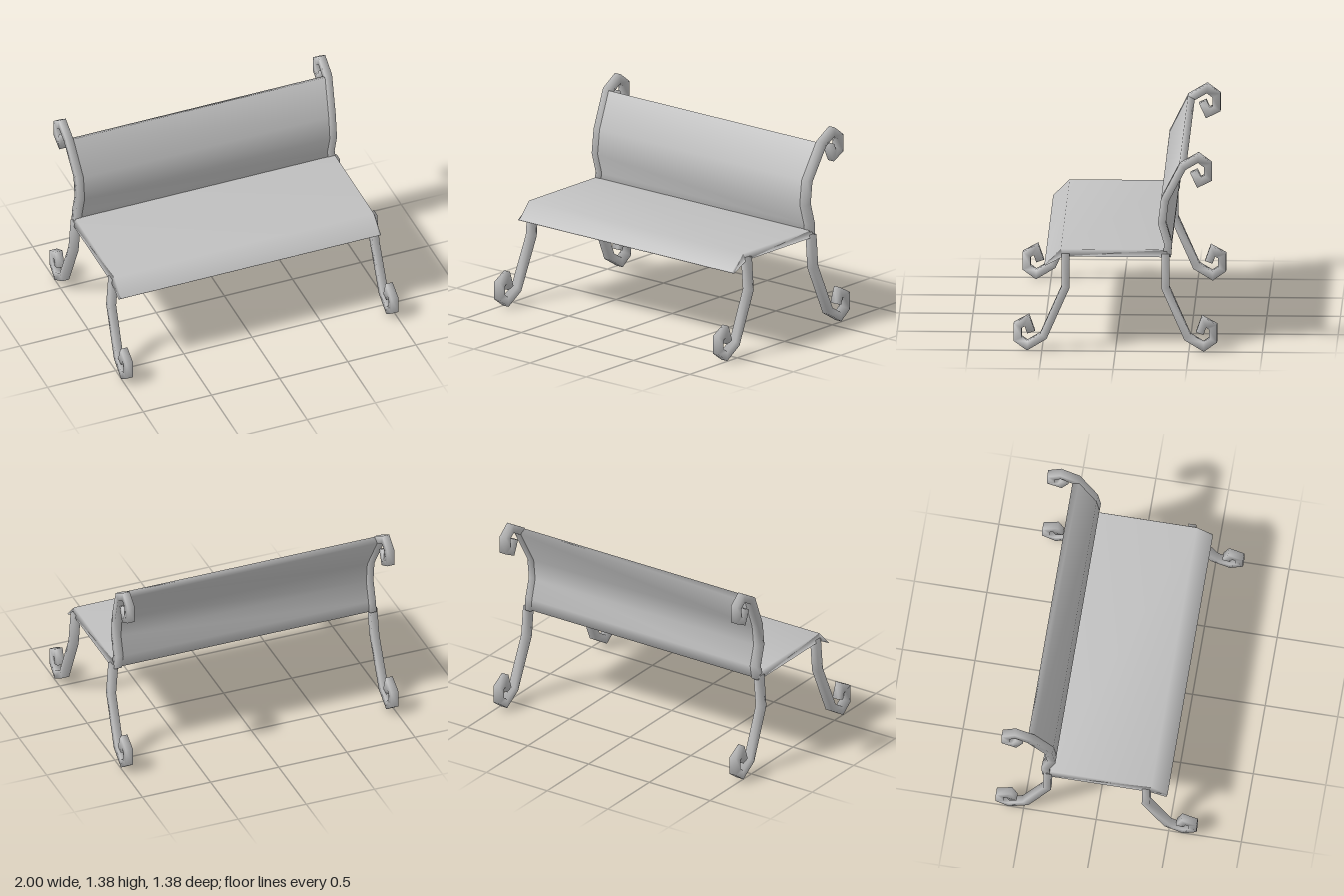
import * as THREE from 'three';

const HALF = 0.027; // half thickness of the bars

// Sweeps a mitred rectangular section along a path in the side plane.
// Each point is { z, y, x0, x1, h }: position, left and right limits, half thickness.
// flare widens the lower side of the section.
function sweep(points, flare = 0) {
  const positions = [], index = [];
  const dir = (a, b) => new THREE.Vector2(b.z - a.z, b.y - a.y).normalize();
  points.forEach((p, i) => {
    const before = i > 0 ? dir(points[i - 1], p) : dir(p, points[i + 1]);
    const after = i < points.length - 1 ? dir(p, points[i + 1]) : before;
    const mid = before.clone().add(after).normalize();
    const reach = (p.h ?? HALF) / mid.dot(before);
    const dz = -mid.y * reach, dy = mid.x * reach;
    positions.push(
      p.x0, p.y + dy, p.z + dz,
      p.x1, p.y + dy, p.z + dz,
      p.x1 + flare, p.y - dy, p.z - dz,
      p.x0 - flare, p.y - dy, p.z - dz
    );
  });
  for (let i = 0; i < points.length - 1; i++) {
    for (let j = 0; j < 4; j++) {
      const a = i * 4 + j, b = i * 4 + (j + 1) % 4;
      index.push(a, a + 4, b + 4, a, b + 4, b);
    }
  }
  const e = (points.length - 1) * 4;
  index.push(0, 1, 2, 0, 2, 3, e, e + 2, e + 1, e, e + 3, e + 2);
  const g = new THREE.BufferGeometry();
  g.setAttribute('position', new THREE.Float32BufferAttribute(positions, 3));
  g.setIndex(index);
  g.computeVertexNormals();
  return g;
}

// Bar path: rows of [z, y, distance from the middle], set on one side
const bar = (rows, side, shift) => sweep(rows.map(([z, y, x]) => {
  const c = side * x + shift;
  return { z, y, x0: c - 0.026, x1: c + 0.026 };
}));

// Wide panel: rows of [z, y, half width, half thickness]
const panel = (rows, shift, flare) => sweep(rows.map(([z, y, w, h]) =>
  ({ z, y, x0: shift - w, x1: shift + w, h })), flare);

export function createModel() {
  const metal = new THREE.MeshStandardMaterial({ color: 0xc0c0c0 });
  metal.name = 'grey metal';
  const bench = new THREE.Group();
  bench.name = 'bench';
  const add = (name, geometry) => {
    const mesh = new THREE.Mesh(geometry, metal);
    mesh.name = name;
    bench.add(mesh);
  };

  // Leg curling into a scroll at the foot
  const leg = [
    [0.34, 0.68, 0.95], [0.34, 0.45, 0.966], [0.49, 0.107, 0.972], [0.6, 0.04, 0.973],
    [0.665, 0.087, 0.973], [0.665, 0.18, 0.973], [0.602, 0.215, 0.973], [0.574, 0.135, 0.973]
  ];
  // Back post curling into a scroll at the top
  const post = [
    [-0.35, 0.66, 0.935], [-0.357, 0.75, 0.926], [-0.315, 0.893, 0.926], [-0.334, 1.053, 0.926],
    [-0.456, 1.295, 0.95], [-0.563, 1.358, 0.952], [-0.628, 1.309, 0.952],
    [-0.628, 1.217, 0.952], [-0.568, 1.187, 0.952], [-0.533, 1.264, 0.952]
  ];
  for (const [side, label] of [[1, 'left'], [-1, 'right']]) {
    add(label + 'FrontLeg', bar(leg, side, -0.003));
    add(label + 'BackLeg', bar(leg.map(([z, y, x]) => [-z, y, x]), side, -0.003));
    add(label + 'BackPost', bar(post, side, -0.009));
  }

  // Seat slab with a lip tapering down at the front
  add('seat', panel([
    [-0.35, 0.684, 0.952, 0.024], [0.365, 0.684, 0.952, 0.024], [0.482, 0.595, 0.945, 0.004]
  ], -0.008, 0.018));

  // Curved backrest between the posts
  add('backrest', panel([
    [-0.35, 0.67, 0.95, 0.024], [-0.357, 0.75, 0.95, 0.024], [-0.315, 0.893, 0.95, 0.026],
    [-0.334, 1.053, 0.95, 0.026], [-0.456, 1.295, 0.935, 0.026]
  ], -0.009, 0));

  return bench;
}
